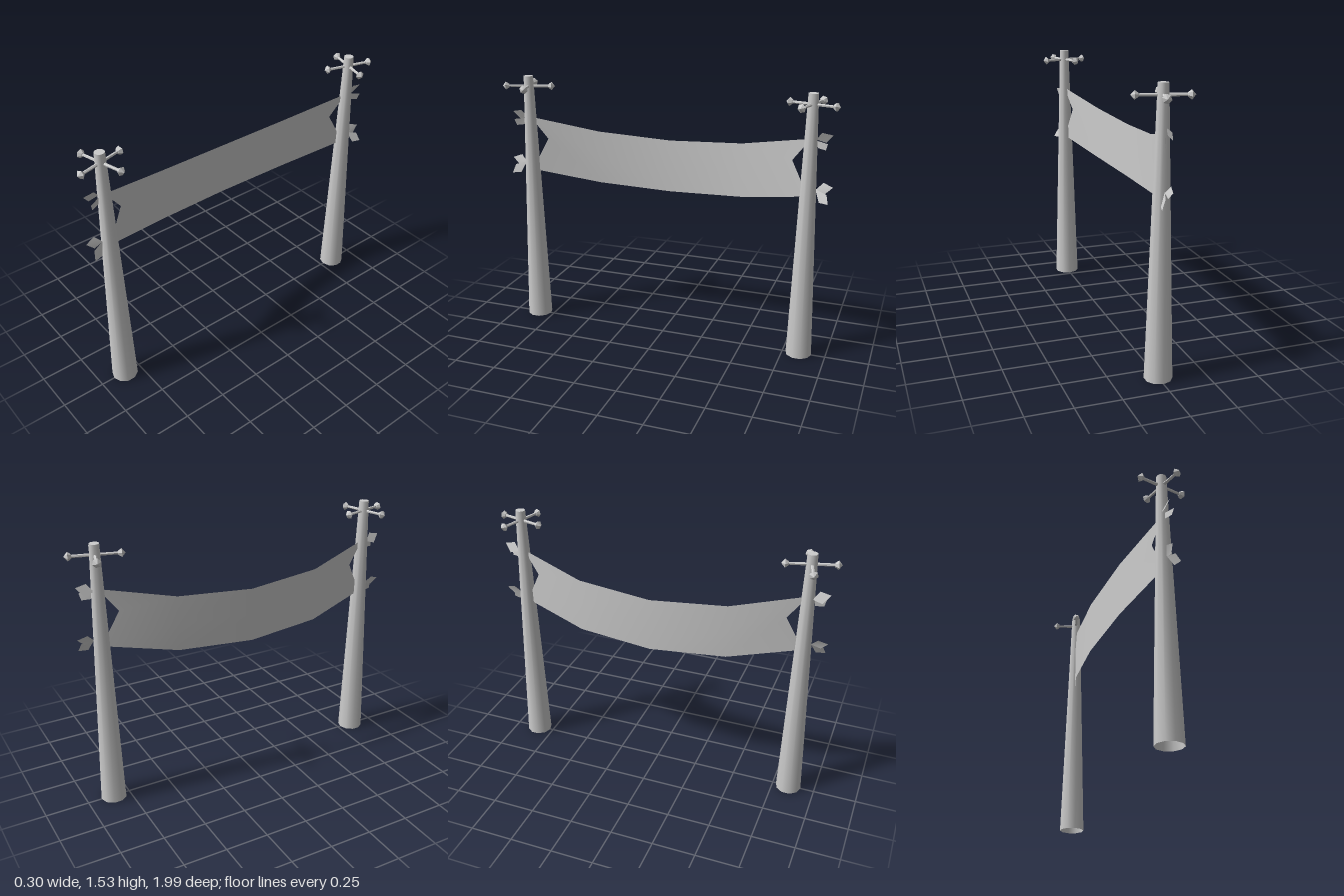
import * as THREE from 'three';

const grey = new THREE.MeshStandardMaterial({ color: 0xcccccc, side: THREE.DoubleSide });
grey.name = 'grey';

function add(parent, name, geometry) {
  const mesh = new THREE.Mesh(geometry, grey);
  mesh.name = name;
  parent.add(mesh);
  return mesh;
}

// Surface from a list of points and triangle indices
function surface(points, index) {
  const g = new THREE.BufferGeometry();
  g.setAttribute('position', new THREE.Float32BufferAttribute(points.flat(), 3));
  g.setIndex(index);
  g.computeVertexNormals();
  return g;
}

// Pointed knob and thin rod, turned about the arm axis
function armGeometry() {
  const profile = [[0.009, 0], [0.008, 0.117], [0.012, 0.119], [0.025, 0.137], [0, 0.157]];
  const lathe = new THREE.LatheGeometry(profile.map(p => new THREE.Vector2(...p)), 6).toNonIndexed();
  lathe.computeVertexNormals();
  return lathe;
}

// Tied cloth ends behind the pole: four corners each, side = +1 front, -1 back
const tails = [
  [[-0.015, 1.283, 0.87], [0.004, 1.326, 0.904], [0, 1.315, 0.963], [-0.02, 1.267, 0.925]],
  [[0, 1.28, 0.877], [0.028, 1.273, 0.94], [0.018, 1.235, 0.93], [0, 1.24, 0.884]],
  [[0, 1.005, 0.885], [-0.016, 1.045, 0.925], [-0.004, 1.026, 0.979], [0.004, 0.988, 0.938]],
  [[0, 1.008, 0.885], [0.022, 0.989, 0.95], [0.045, 0.941, 0.963], [0.03, 0.943, 0.912]],
];

function createPost(side) {
  const post = new THREE.Group();
  post.name = side > 0 ? 'frontPost' : 'backPost';

  // Tapered pole, open underneath, with a flat top
  const pole = add(post, 'pole', new THREE.CylinderGeometry(0.028, 0.075, 1.535, 10, 1, true));
  pole.position.set(0, 0.7675, side * 0.845);
  const cap = add(post, 'poleTop', new THREE.CircleGeometry(0.028, 10, Math.PI / 2));
  cap.rotation.x = -Math.PI / 2;
  cap.position.set(0, 1.535, side * 0.845);

  // Four knobbed arms around the top
  for (let i = 0; i < 4; i++) {
    const a = 0.27 + i * Math.PI / 2;
    const arm = add(post, 'knobbedArm', armGeometry());
    const direction = new THREE.Vector3(Math.sin(a), 0, side * Math.cos(a));
    arm.quaternion.setFromUnitVectors(new THREE.Vector3(0, 1, 0), direction);
    arm.position.set(0, 1.475, side * 0.845);
  }

  for (const tail of tails) {
    const corners = tail.map(([x, y, z]) => [x, y, z * side]);
    add(post, 'tiedClothEnd', surface(corners, [0, 1, 2, 0, 2, 3]));
  }
  return post;
}

// Sagging banner with a notch at each end
function bannerGeometry() {
  const half = [ // z, x, top y, bottom y
    [0, -0.138, 1.178, 0.865],
    [0.44, -0.103, 1.205, 0.888],
    [0.845, 0, 1.288, 0.962],
  ];
  const columns = [...half.slice(1).reverse().map(([z, ...r]) => [-z, ...r]), ...half];
  const points = [], index = [];
  columns.forEach(([z, x, top, bottom], i) => {
    const end = i === 0 || i === columns.length - 1;
    const middle = end ? [-0.025, 1.155, Math.sign(z) * 0.745] : [x, (top + bottom) / 2, z];
    points.push([x, top, z], middle, [x, bottom, z]);
    if (i === 0) return;
    for (let r = 0; r < 2; r++) {
      const a = (i - 1) * 3 + r, b = i * 3 + r;
      index.push(a, b, a + 1, b, b + 1, a + 1);
    }
  });
  return surface(points, index);
}

export function createModel() {
  const model = new THREE.Group();
  model.name = 'bannerBetweenPosts';
  model.add(createPost(1), createPost(-1));
  add(model, 'banner', bannerGeometry());
  return model;
}
